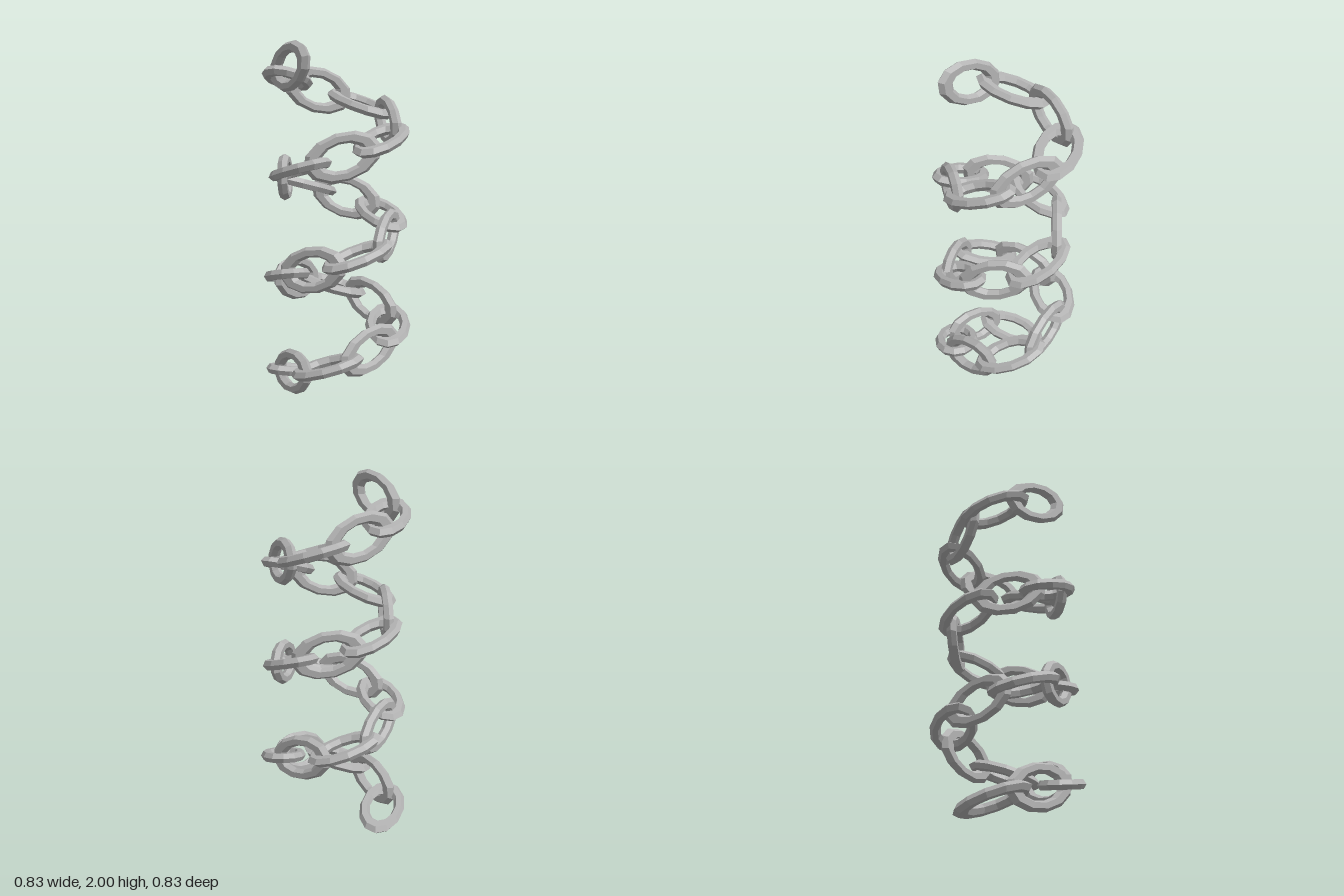
import * as THREE from 'three';

export function createModel() {
  const model = new THREE.Group();
  model.name = 'spiralChain';

  const steel = new THREE.MeshStandardMaterial({ color: 0xb3b3b3, flatShading: true });
  steel.name = 'steel grey';

  // One oval link: a hexagonal-section ring stretched along its length
  const linkGeometry = new THREE.TorusGeometry(0.1, 0.03, 6, 12);
  linkGeometry.scale(1.65, 1, 1);

  // Links follow a descending helix, each rolled a quarter turn from the last
  const count = 24;
  const radius = 0.29;
  const startAngle = THREE.MathUtils.degToRad(200);
  const stepAngle = THREE.MathUtils.degToRad(49.09);
  const topY = 1.861;
  const drop = 0.0774;

  for (let i = 0; i < count; i++) {
    const angle = startAngle + i * stepAngle;
    const c = Math.cos(angle);
    const s = Math.sin(angle);

    // Frame of the helix: along the chain, outward, and square to both
    const along = new THREE.Vector3(-s * radius * stepAngle, -drop, c * radius * stepAngle).normalize();
    const outward = new THREE.Vector3(c, 0, s);
    const upward = new THREE.Vector3().crossVectors(along, outward);

    const upright = i % 2 === 0;
    const across = upright ? upward : outward;
    const normal = new THREE.Vector3().crossVectors(along, across);

    const link = new THREE.Mesh(linkGeometry, steel);
    link.name = (upright ? 'uprightLink' : 'flatLink') + (i + 1);
    link.quaternion.setFromRotationMatrix(new THREE.Matrix4().makeBasis(along, across, normal));
    link.position.set(radius * c, topY - i * drop, radius * s);
    model.add(link);
  }
  return model;
}
